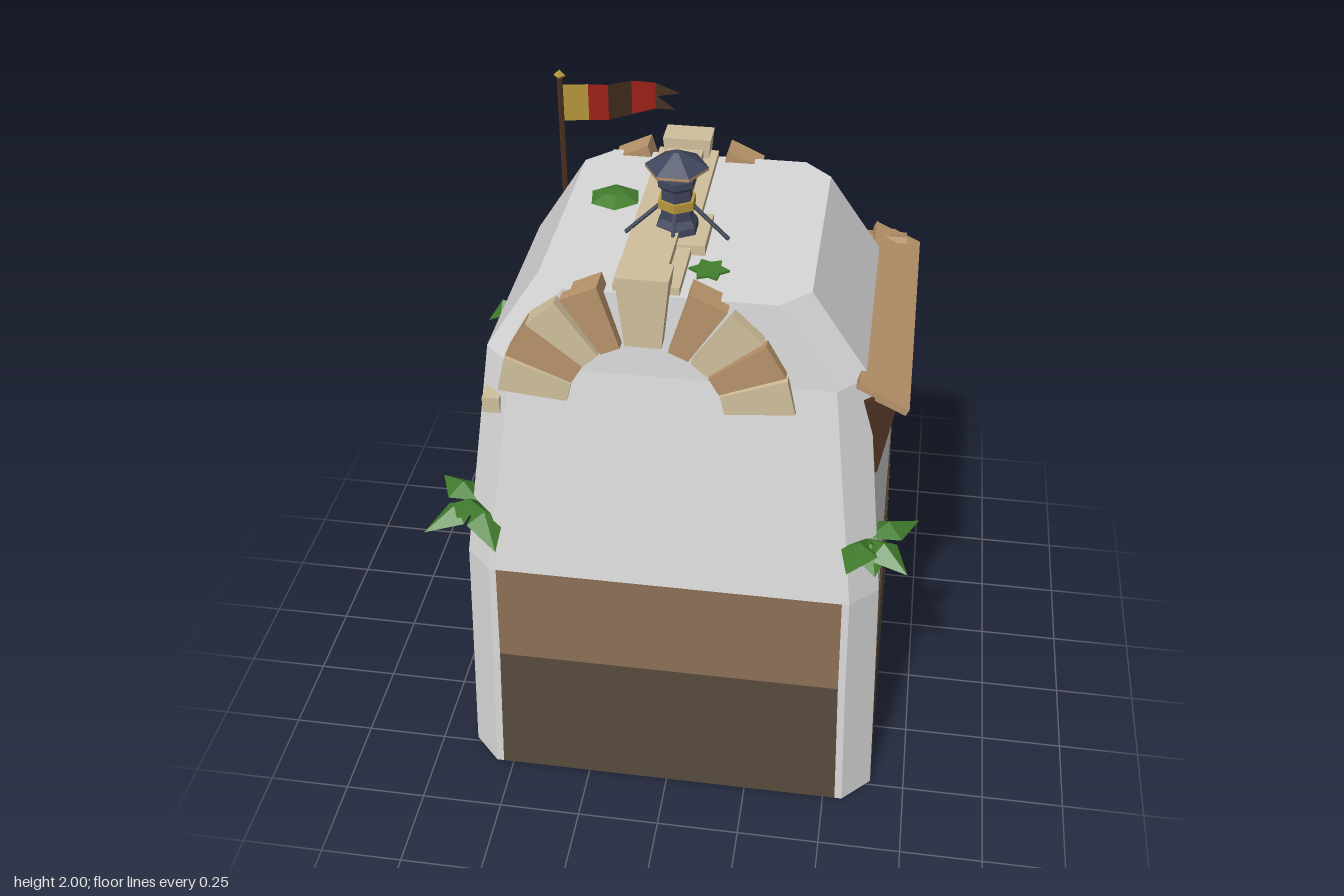
import * as THREE from 'three';

const mat = (name, color, side = THREE.FrontSide) =>
  new THREE.MeshStandardMaterial({ name, color, side, flatShading: true });

export function createModel() {
  const root = new THREE.Group();
  root.name = 'stoneTower';
  const D = THREE.DoubleSide;
  const plaster = mat('plaster', 0xd8d8d8), brown = mat('brownBand', 0x8a6e54), dark = mat('darkBand', 0x564a3c);
  const tan = mat('paleStone', 0xd0c09c), sand = mat('warmStone', 0xb9946b), wood = mat('darkWood', 0x4a3020, D);
  const slate = mat('slate', 0x40465c), gold = mat('gold', 0xb8983c, D), red = mat('red', 0xa8241a, D);
  const green = mat('leafGreen', 0x427f2e, D);

  const add = (name, geo, m, pos = [0, 0, 0], rot = [0, 0, 0], parent = root) => {
    const mesh = new THREE.Mesh(geo, m);
    mesh.name = name;
    mesh.position.set(...pos);
    mesh.rotation.set(...rot);
    parent.add(mesh);
    return mesh;
  };
  // Box given by its minimum and maximum corners
  const box = (name, m, a, b, parent = root) => add(name,
    new THREE.BoxGeometry(b[0] - a[0], b[1] - a[1], b[2] - a[2]), m,
    a.map((v, i) => (v + b[i]) / 2), [0, 0, 0], parent);
  const tris = (points) => {
    const g = new THREE.BufferGeometry().setFromPoints(points.map((p) => new THREE.Vector3(...p)));
    g.computeVertexNormals();
    return g;
  };
  // Thin round bar between two points
  const bar = (name, m, a, b, r, parent = root) => {
    const p = new THREE.Vector3(...a), q = new THREE.Vector3(...b);
    const mesh = add(name, new THREE.CylinderGeometry(r, r, p.distanceTo(q), 6), m,
      p.clone().add(q).multiplyScalar(0.5).toArray(), [0, 0, 0], parent);
    mesh.quaternion.setFromUnitVectors(new THREE.Vector3(0, 1, 0), q.sub(p).normalize());
    return mesh;
  };

  // Walls: chamfered rings [y, left, right, back, front, chamfer]
  const rings = [
    [0, -0.64, 0.645, -0.545, 0.57, 0.085], [0.47, -0.622, 0.628, -0.522, 0.552, 0.085],
    [0.8, -0.61, 0.615, -0.505, 0.535, 0.08], [1.47, -0.53, 0.54, -0.41, 0.425, 0.085],
    [1.72, -0.37, 0.37, -0.395, 0.41, 0.08],
  ].map(([y, l, r, b, f, c]) => {
    const sides = [[[l + c, f], [r - c, f]], [[r, f - c], [r, b + c]], [[r - c, b], [l + c, b]], [[l, b + c], [l, f - c]]];
    return sides.flatMap(([s, e]) => [0, 0.02, 0.98, 1].map((t) =>
      [s[0] + (e[0] - s[0]) * t, y, s[1] + (e[1] - s[1]) * t]));
  });
  const walls = [], lower = [], upper = [];
  for (let k = 0; k < 4; k++) {
    for (let i = 0; i < 16; i++) {
      const j = (i + 1) % 16, [a, b, c, d] = [rings[k][i], rings[k][j], rings[k + 1][j], rings[k + 1][i]];
      const target = i % 4 === 1 && k < 2 ? [lower, upper][k] : walls;
      target.push(a, b, c, a, c, d);
    }
  }
  for (let i = 0; i < 16; i++) {
    const j = (i + 1) % 16;
    walls.push([0, 1.72, 0], rings[4][i], rings[4][j], [0, 0, 0], rings[0][j], rings[0][i]);
  }
  add('walls', tris(walls), plaster);
  add('lowerWallBand', tris(lower), dark);
  add('upperWallBand', tris(upper), brown);

  // Arches of wedge stones at front and back
  const stone = (angle, half, r0, r1, z0, z1, m, parent) => {
    const at = (r, a) => new THREE.Vector2(Math.cos(a) * r, Math.sin(a) * r);
    const shape = new THREE.Shape([at(r0, angle - half), at(r1, angle - half), at(r1, angle + half), at(r0, angle + half)]);
    add('archStone', new THREE.ExtrudeGeometry(shape, { depth: z1 - z0, bevelEnabled: false }), m,
      [-0.065, 1.36, z0], [0, 0, 0], parent);
  };
  for (const [name, z0, z1] of [['frontArch', 0.37, 0.45], ['backArch', -0.44, -0.36]]) {
    const arch = new THREE.Group();
    arch.name = name;
    root.add(arch);
    [65, 47, 30, 13].forEach((deg, i) => {
      for (const a of [deg, 180 - deg]) {
        stone(THREE.MathUtils.degToRad(a), 0.135, 0.22, 0.415, z0, z1, i % 2 ? tan : sand, arch);
      }
    });
    const key = new THREE.Shape([[-0.05, 1.59], [0.05, 1.59], [0.072, 1.8], [-0.072, 1.8]].map((p) => new THREE.Vector2(...p)));
    add('keystone', new THREE.ExtrudeGeometry(key, { depth: 0.09, bevelEnabled: false }), tan,
      [-0.065, 0, z0 > 0 ? 0.375 : -0.425], [0, 0, 0], arch);
  }
  box('looseStone', tan, [-0.53, 1.31, 0.38], [-0.48, 1.36, 0.44]);

  // Ridge across the roof
  box('ridgeBase', tan, [-0.155, 1.7, -0.39], [0.025, 1.742, 0.4]);
  box('ridgeCap', tan, [-0.125, 1.73, -0.39], [-0.015, 1.768, 0.4]);

  // Chimney with gold band, hexagonal hat and stays
  const chimney = new THREE.Group();
  chimney.name = 'chimney';
  chimney.position.set(-0.027, 0, 0.1);
  root.add(chimney);
  box('chimneySlab', tan, [-0.09, 1.71, -0.09], [0.09, 1.75, 0.09], chimney);
  const profile = [[0, 1.74], [0.065, 1.74], [0.062, 1.77], [0.048, 1.79], [0.045, 1.88], [0.056, 1.89], [0.056, 1.91], [0.03, 1.915], [0.03, 1.945]];
  add('chimneyPipe', new THREE.LatheGeometry(profile.map((p) => new THREE.Vector2(...p)), 6), slate, [0, 0, 0], [0, 0, 0], chimney);
  add('chimneyBand', new THREE.CylinderGeometry(0.056, 0.056, 0.025, 6), gold, [0, 1.835, 0], [0, 0, 0], chimney);
  add('hatRim', new THREE.CylinderGeometry(0.088, 0.088, 0.008, 6), sand, [0, 1.939, 0], [0, Math.PI / 6, 0], chimney);
  add('hat', new THREE.CylinderGeometry(0.012, 0.088, 0.042, 6), slate, [0, 1.964, 0], [0, Math.PI / 6, 0], chimney);
  for (const [x, z] of [[-1, 0.05], [1, 0.05], [0, 0.75]]) {
    bar('stay', slate, [x * 0.04, 1.83, z * 0.04], [x * 0.145, 1.73, z * 0.145], 0.006, chimney);
  }

  // Flag: bands [x, z, top, bottom] along a waving path
  bar('flagPole', wood, [-0.44, 1.59, -0.325], [-0.44, 1.985, -0.325], 0.009);
  add('poleFinial', new THREE.OctahedronGeometry(0.018), gold, [-0.44, 1.985, -0.325]);
  const wave = [[-0.435, -0.325, 1.955, 1.84], [-0.36, -0.34, 1.955, 1.84], [-0.305, -0.365, 1.945, 1.832],
    [-0.245, -0.425, 1.935, 1.826], [-0.18, -0.465, 1.915, 1.83]];
  [gold, red, wood, red].forEach((m, i) => {
    const [a, b] = [wave[i], wave[i + 1]];
    const p = (q, k) => [q[0], q[k], q[1]];
    add('flagBand', tris([p(a, 3), p(b, 3), p(b, 2), p(a, 3), p(b, 2), p(a, 2)]), m);
  });
  add('flagTail', tris([[-0.18, 1.915, -0.465], [-0.18, 1.87, -0.465], [-0.105, 1.88, -0.475],
    [-0.18, 1.875, -0.465], [-0.18, 1.83, -0.465], [-0.12, 1.825, -0.475]]), wood);

  // Lantern hung from the back wall
  const lantern = new THREE.Group();
  lantern.name = 'lantern';
  lantern.position.set(-0.38, 0, -0.472);
  root.add(lantern);
  bar('lanternHook', wood, [0, 1.555, 0], [0, 1.575, 0.09], 0.008, lantern);
  for (const [name, m, r0, r1, y0, y1] of [['lanternBase', slate, 0.034, 0.034, 1.41, 1.428], ['lanternGlass', gold, 0.03, 0.026, 1.428, 1.49],
    ['lanternHat', slate, 0.034, 0.03, 1.49, 1.51], ['lanternTop', gold, 0.034, 0.01, 1.51, 1.55]]) {
    add(name, new THREE.CylinderGeometry(r1, r0, y1 - y0, 6), m, [0, (y0 + y1) / 2, 0], [0, Math.PI / 6, 0], lantern);
  }
  for (let i = 0; i < 6; i++) {
    const x = 0.029 * Math.cos(i * Math.PI / 3), z = 0.029 * Math.sin(i * Math.PI / 3);
    bar('lanternRib', slate, [x, 1.42, z], [x, 1.5, z], 0.004, lantern);
  }

  // Sloping awning on the left side, with a short return on the back
  add('awningUpperPlank', new THREE.BoxGeometry(0.09, 0.02, 0.88), sand, [0.55, 1.465, -0.03], [0, 0, -0.45]);
  add('awningLowerPlank', new THREE.BoxGeometry(0.095, 0.022, 0.9), sand, [0.605, 1.43, -0.04], [0, 0, -0.45]);
  add('awningBeam', new THREE.BoxGeometry(0.03, 0.025, 0.86), wood, [0.6, 1.408, -0.03]);
  add('awningReturn', new THREE.BoxGeometry(0.34, 0.02, 0.09), sand, [0.44, 1.455, -0.445], [-0.35, 0, 0]);

  // Tapered brackets: the last one sits on the corner
  const bracket = (drop, pos, turn) => {
    const s = new THREE.Shape([[0, 0], [0.03, -drop], [0.055, -drop], [0.095, 0]].map((p) => new THREE.Vector2(...p)));
    const g = new THREE.ExtrudeGeometry(s, { depth: 0.04, bevelEnabled: false });
    add('awningBracket', g.translate(0, 0, -0.02), wood, pos, [0, turn, 0]);
  };
  bracket(0.245, [0.525, 1.41, 0.35], 0);
  bracket(0.245, [0.525, 1.41, 0], 0);
  bracket(0.35, [0.48, 1.41, -0.36], Math.PI / 4);

  // Corner blocks and the back shelf
  for (const s of [-1, 1]) {
    add('cornerBlock', new THREE.BoxGeometry(0.11, 0.075, 0.09), sand, [s * 0.555, 0.952, -0.435], [0, s * Math.PI / 4, 0]);
  }
  box('backShelf', sand, [-0.3, 0.81, -0.575], [0.17, 0.89, -0.48]);
  box('backShelfRail', tan, [-0.28, 0.89, -0.512], [0.15, 0.93, -0.46]);

  // Folded pointed leaves
  const leaf = (a, t, w) => {
    const dx = t[0] - a[0], dz = t[2] - a[2], n = Math.hypot(dx, dz) || 1;
    const mid = (s, lift) => [a[0] + dx * 0.4 - (dz / n) * w * s, a[1] + (t[1] - a[1]) * 0.4 + lift, a[2] + dz * 0.4 + (dx / n) * w * s];
    const [l, c, r] = [mid(1, 0), mid(0, 0.035), mid(-1, 0)];
    add('leaf', tris([a, l, c, l, t, c, c, t, r, a, c, r]), green);
  };
  const tufts = [
    [[-0.57, 0.98, 0.44], [[-0.715, 0.95, 0.3], [-0.71, 0.93, 0.545], [-0.485, 0.925, 0.595], [-0.6, 1.01, 0.56]]],
    [[0.57, 0.98, 0.44], [[0.715, 0.935, 0.29], [0.69, 0.95, 0.55], [0.52, 0.99, 0.615], [0.6, 0.94, 0.56]]],
    [[-0.56, 0.985, -0.42], [[-0.56, 0.95, -0.62], [-0.705, 0.97, -0.49], [-0.66, 0.94, -0.29]]],
  ];
  for (const [base, tips] of tufts) tips.forEach((t) => leaf(base, t, 0.055));
  leaf([-0.53, 1.42, 0.04], [-0.61, 1.35, 0.04], 0.04);
  leaf([-0.54, 1.3, -0.15], [-0.57, 1.28, -0.15], 0.03);

  // Moss on the roof
  add('largeMoss', new THREE.CylinderGeometry(0.03, 0.088, 0.025, 6), green, [-0.24, 1.728, -0.1], [0, 0.15, 0]);
  const star = new THREE.Shape(Array.from({ length: 12 }, (_, i) => {
    const r = i % 2 ? 0.036 : 0.056, a = i * Math.PI / 6;
    return new THREE.Vector2(Math.cos(a) * r, Math.sin(a) * r);
  }));
  add('smallMoss', new THREE.ExtrudeGeometry(star, { depth: 0.012, bevelEnabled: false }), green, [0.085, 1.715, 0.265], [-Math.PI / 2, 0, 0]);
  return root;
}
